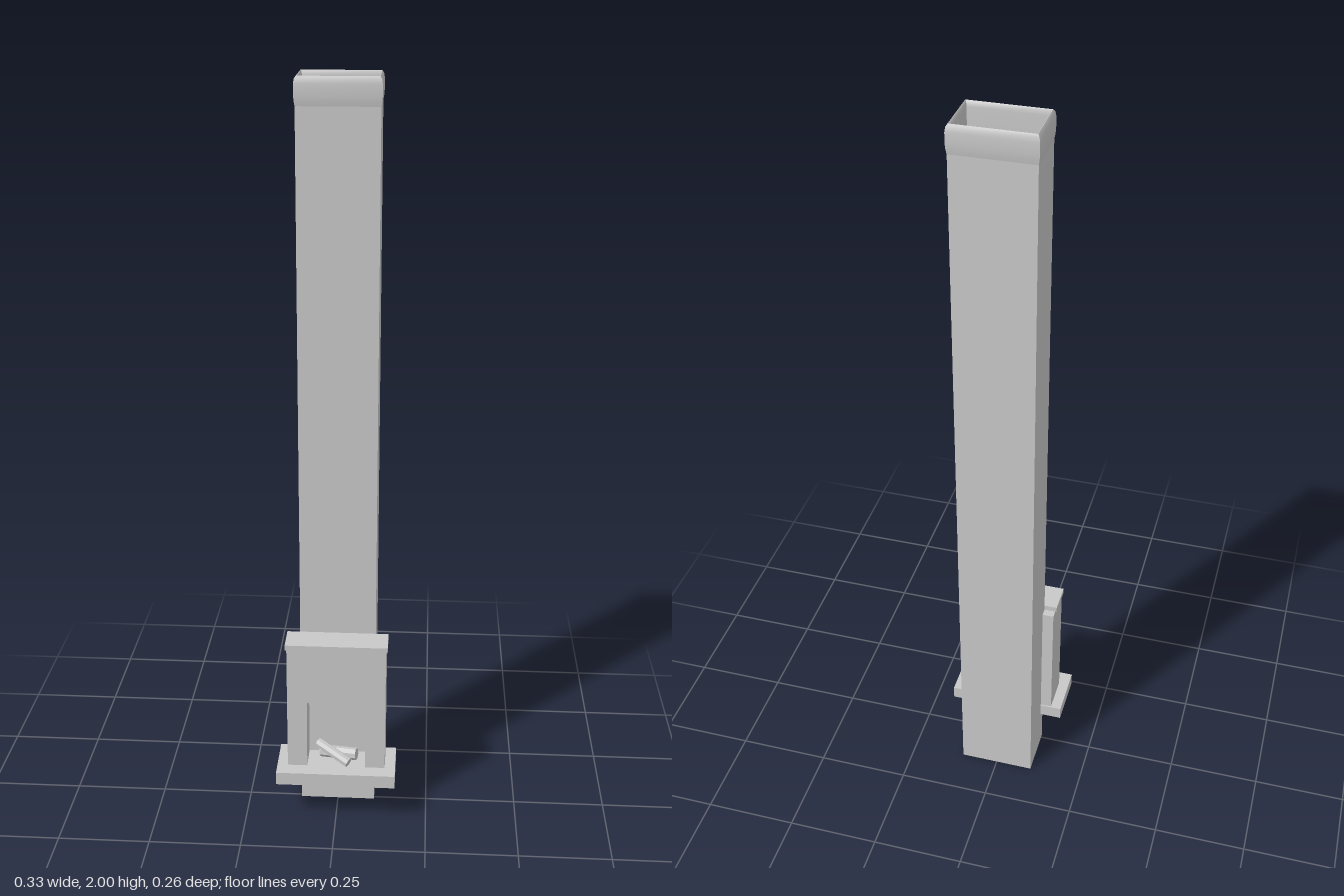
import * as THREE from 'three';
import { toCreasedNormals } from 'three/addons/utils/BufferGeometryUtils.js';

const stone = new THREE.MeshStandardMaterial({ color: 0xc8c8c8, side: THREE.DoubleSide });
stone.name = 'grey stone';

function add(group, name, geometry, x = 0, y = 0, z = 0) {
  const mesh = new THREE.Mesh(geometry, stone);
  mesh.name = name;
  mesh.position.set(x, y, z);
  group.add(mesh);
  return mesh;
}

function box(group, name, x0, x1, y0, y1, z0, z1) {
  return add(group, name, new THREE.BoxGeometry(x1 - x0, y1 - y0, z1 - z0),
    (x0 + x1) / 2, (y0 + y1) / 2, (z0 + z1) / 2);
}

// Rectangular tube swept through [outset, height] rings
function rectTube(halfX, halfZ, profile) {
  const positions = [];
  const corners = [[1, 1], [1, -1], [-1, -1], [-1, 1]];
  const at = ([d, y], [sx, sz]) => [sx * (halfX + d), y, sz * (halfZ + d)];
  for (let i = 0; i < profile.length - 1; i++) {
    for (let j = 0; j < 4; j++) {
      const c0 = corners[j], c1 = corners[(j + 1) % 4];
      const a = at(profile[i], c0), b = at(profile[i], c1);
      const c = at(profile[i + 1], c1), d = at(profile[i + 1], c0);
      positions.push(...a, ...b, ...c, ...a, ...c, ...d);
    }
  }
  const geo = new THREE.BufferGeometry();
  geo.setAttribute('position', new THREE.Float32BufferAttribute(positions, 3));
  return toCreasedNormals(geo, 0.8);
}

// Upright prism over a plan outline of [x, z], open underneath
function openPrism(outline, height) {
  const shape = new THREE.Shape(outline.map(([x, z]) => new THREE.Vector2(x, -z)));
  const source = new THREE.ExtrudeGeometry(shape, { depth: height, bevelEnabled: false });
  const p = source.attributes.position;
  const kept = [];
  for (let i = 0; i < p.count; i += 3) {
    const onBottom = [0, 1, 2].every((k) => p.getZ(i + k) < 1e-6);
    if (onBottom) continue;
    for (let k = 0; k < 3; k++) kept.push(p.getX(i + k), p.getY(i + k), p.getZ(i + k));
  }
  const geo = new THREE.BufferGeometry();
  geo.setAttribute('position', new THREE.Float32BufferAttribute(kept, 3));
  geo.rotateX(-Math.PI / 2);
  geo.computeVertexNormals();
  return geo;
}

function log(group, name, from, to, radius) {
  const a = new THREE.Vector3(...from), b = new THREE.Vector3(...to);
  const dir = b.clone().sub(a);
  const geo = new THREE.CylinderGeometry(radius, radius, dir.length(), 8).toNonIndexed();
  geo.computeVertexNormals();
  const mesh = add(group, name, geo);
  mesh.position.copy(a).add(b).multiplyScalar(0.5);
  mesh.quaternion.setFromUnitVectors(new THREE.Vector3(0, 1, 0), dir.normalize());
}

export function createModel() {
  const model = new THREE.Group();
  model.name = 'fireplace';

  // Hollow chimney, rounded rim and flue floor
  const flueZ = -0.059;
  const halfX = 0.103, halfZ = 0.0685;
  add(model, 'chimneyStack', rectTube(halfX, halfZ, [[0, 0], [0, 1.93]]), 0, 0, flueZ);
  add(model, 'chimneyRim', rectTube(halfX, halfZ, [
    [0, 1.93], [0.002, 1.942], [0.003, 1.955], [0.003, 1.982], [0.001, 1.994], [-0.003, 2],
    [-0.006, 1.997], [-0.007, 1.985], [-0.007, 1.93],
  ]), 0, 0, flueZ);
  add(model, 'chimneyLining', rectTube(halfX, halfZ, [[-0.007, 1.93], [-0.007, 0.16]]), 0, 0, flueZ);
  add(model, 'flueFloor', new THREE.PlaneGeometry(0.2, 0.132).rotateX(-Math.PI / 2), 0, 0.16, flueZ);

  // Hearth slab wrapping the chimney front
  add(model, 'hearth', openPrism([
    [-0.163, 0.13], [0.163, 0.13], [0.163, -0.016], [halfX, -0.016],
    [halfX, 0.0095], [-halfX, 0.0095], [-halfX, -0.016], [-0.163, -0.016],
  ], 0.037), 0, 0.118, 0);

  // Surround with a pointed arch opening
  const front = new THREE.Shape();
  front.moveTo(-0.134, 0.155);
  front.lineTo(-0.08, 0.155);
  front.lineTo(-0.08, 0.35);
  front.quadraticCurveTo(-0.035, 0.4, 0, 0.4);
  front.quadraticCurveTo(0.035, 0.4, 0.08, 0.35);
  front.lineTo(0.08, 0.155);
  front.lineTo(0.134, 0.155);
  front.lineTo(0.134, 0.515);
  front.lineTo(-0.134, 0.515);
  add(model, 'surround', new THREE.ExtrudeGeometry(front,
    { depth: 0.078, bevelEnabled: false, curveSegments: 6 }), 0, 0, 0.01);
  box(model, 'leftReturn', halfX, 0.134, 0.155, 0.515, -0.012, 0.01);
  box(model, 'rightReturn', -0.134, -halfX, 0.155, 0.515, -0.012, 0.01);
  box(model, 'mantelShelf', -0.138, 0.138, 0.515, 0.53, 0.01, 0.092);

  // Firewood
  log(model, 'frontLog', [-0.052, 0.214, 0.06], [0.035, 0.181, 0.108], 0.014);
  log(model, 'backLog', [-0.045, 0.172, 0.035], [0.055, 0.179, 0.06], 0.017);
  return model;
}
